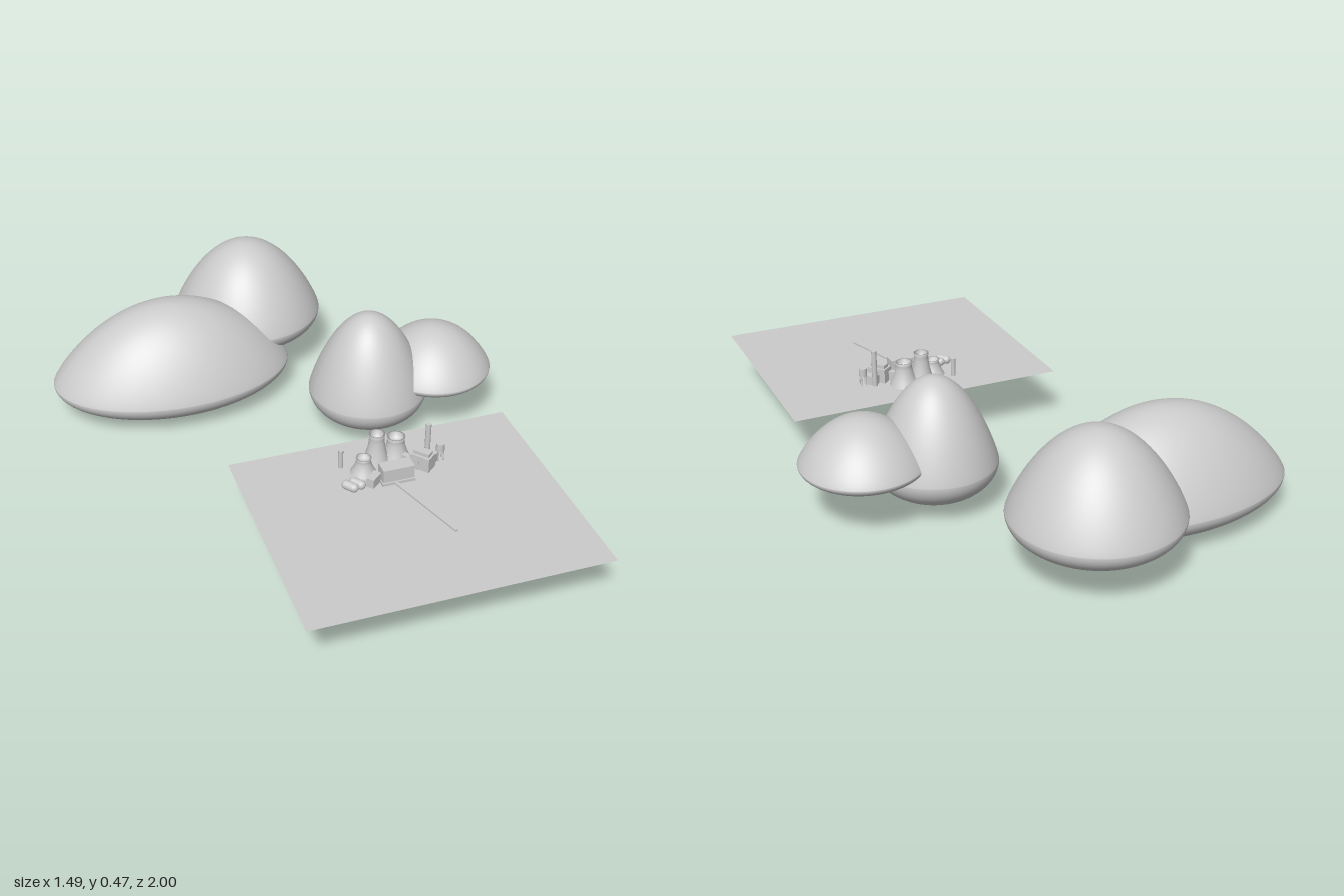
import * as THREE from 'three';

const grey = new THREE.MeshStandardMaterial({ color: 0xcccccc });
const thin = new THREE.MeshStandardMaterial({ color: 0xcccccc, side: THREE.DoubleSide });
const GROUND = 0.2;

function add(parent, name, geometry, x, y, z, material = grey) {
  const mesh = new THREE.Mesh(geometry, material);
  mesh.name = name;
  mesh.position.set(x, y, z);
  parent.add(mesh);
  return mesh;
}

// Box standing between two heights, turned about y
function box(parent, name, x, z, w, d, y0, y1, turn = 0) {
  const mesh = add(parent, name, new THREE.BoxGeometry(w, y1 - y0, d), x, (y0 + y1) / 2, z);
  mesh.rotation.y = turn;
  return mesh;
}

// Upright cylinder between two heights
function post(parent, name, x, z, r, y0, y1, sides = 16) {
  return add(parent, name, new THREE.CylinderGeometry(r, r, y1 - y0, sides), x, (y0 + y1) / 2, z);
}

// Mound with a bell-shaped top and a shallow rounded underside
function hill(parent, name, x, z, rx, rz, bottom, middle, top) {
  const geo = new THREE.SphereGeometry(1, 64, 48);
  const p = geo.attributes.position;
  for (let i = 0; i < p.count; i++) {
    const v = p.getY(i);
    const y = v > 0 ? Math.pow(v, 1.75) * (top - middle) : v * (middle - bottom);
    p.setXYZ(i, p.getX(i) * rx, y, p.getZ(i) * rz);
  }
  geo.computeVertexNormals();
  return add(parent, name, geo, x, middle, z);
}

// Hollow tower, pinched below its rim
function coolingTower(parent, x, z, r, top) {
  const h = top - GROUND;
  const profile = [[1, 0], [0.82, 0.25], [0.66, 0.5], [0.57, 0.75], [0.56, 0.88], [0.6, 1]]
    .map(([u, v]) => new THREE.Vector2(u * r, v * h));
  profile.push(new THREE.Vector2(0.48 * r, h), new THREE.Vector2(0.46 * r, 0.75 * h));
  profile.push(new THREE.Vector2(0, 0.75 * h));
  add(parent, 'coolingTower', new THREE.LatheGeometry(profile, 32), x, GROUND, z, thin);
}

export function createModel() {
  const model = new THREE.Group();

  // Hills
  const hills = new THREE.Group();
  hills.name = 'hills';
  model.add(hills);
  hill(hills, 'longHill', -0.315, -0.53, 0.43, 0.272, 0.003, 0.12, 0.39);
  hill(hills, 'backHill', 0.025, -0.73, 0.27, 0.27, 0.088, 0.205, 0.475);
  hill(hills, 'tallHill', 0.295, -0.15, 0.205, 0.207, 0.032, 0.155, 0.445);
  hill(hills, 'lowHill', 0.535, -0.15, 0.205, 0.207, 0.147, 0.205, 0.355);

  // Water sheet
  const water = add(model, 'water', new THREE.PlaneGeometry(0.955, 0.795), 0.168, GROUND, 0.6025, thin);
  water.rotation.x = -Math.PI / 2;

  const plant = new THREE.Group();
  plant.name = 'harbourPlant';
  model.add(plant);

  // Cooling towers
  coolingTower(plant, 0.087, 0.37, 0.042, 0.255);
  coolingTower(plant, 0.145, 0.33, 0.044, 0.307);
  coolingTower(plant, 0.21, 0.33, 0.05, 0.283);

  // Main hall and side buildings
  box(plant, 'mainHall', 0.173, 0.434, 0.104, 0.048, GROUND, 0.255);
  box(plant, 'hallBase', 0.173, 0.436, 0.11, 0.054, GROUND, 0.21);
  box(plant, 'leftShed', 0.097, 0.438, 0.05, 0.026, GROUND, 0.232, 0.7);
  box(plant, 'rightHall', 0.275, 0.4, 0.046, 0.068, GROUND, 0.25, 0.7);
  box(plant, 'rightHallRoof', 0.275, 0.4, 0.028, 0.055, 0.25, 0.262, 0.7);
  box(plant, 'rightShed', 0.243, 0.385, 0.02, 0.06, GROUND, 0.235, 0.7);
  box(plant, 'rearShed', 0.31, 0.38, 0.03, 0.04, GROUND, 0.232, 0.7);

  // Storage tanks lying on their sides
  for (const [x, z] of [[0.017, 0.443], [0.043, 0.436]]) {
    const tank = add(plant, 'tank', new THREE.CapsuleGeometry(0.015, 0.028, 8, 20), x, 0.213, z);
    tank.rotation.set(Math.PI / 2, 0, -0.65);
  }

  // Chimneys
  post(plant, 'shortChimney', 0.027, 0.325, 0.008, 0.18, 0.265);
  post(plant, 'tallChimney', 0.307, 0.36, 0.009, 0.155, 0.33);

  // Water tower on thin legs
  post(plant, 'waterTower', 0.342, 0.382, 0.014, 0.235, 0.263, 20);
  for (let i = 0; i < 4; i++) {
    const a = Math.PI / 4 + i * Math.PI / 2;
    post(plant, 'waterTowerLeg', 0.342 + 0.012 * Math.cos(a), 0.382 + 0.012 * Math.sin(a), 0.002, 0.165, 0.236, 8);
  }

  // Pier on short piles
  const start = new THREE.Vector2(0.16, 0.455), end = new THREE.Vector2(0.25, 0.735);
  const span = end.clone().sub(start);
  box(plant, 'pierDeck', 0.205, 0.595, 0.011, span.length(), 0.203, 0.209, Math.atan2(span.x, span.y));
  for (let i = 0; i < 6; i++) {
    const p = start.clone().addScaledVector(span, 0.12 + i * 0.165);
    post(plant, 'pierPile', p.x, p.y, 0.003, 0.188, 0.206, 8);
  }

  return model;
}
